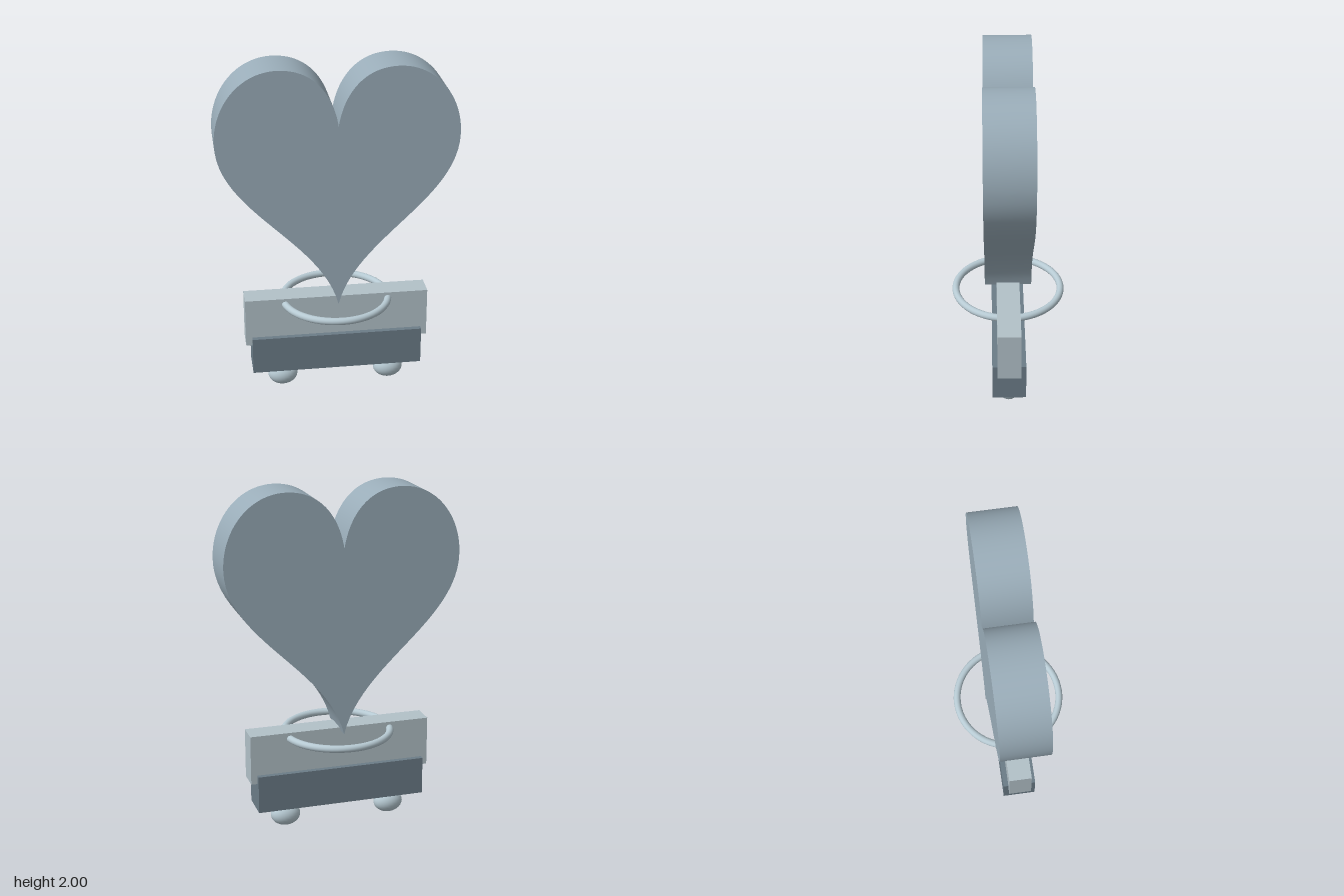
import * as THREE from 'three';
import { toCreasedNormals } from 'three/addons/utils/BufferGeometryUtils.js';

const paint = (name, color) => {
  const m = new THREE.MeshStandardMaterial({ color });
  m.name = name;
  return m;
};

export function createModel() {
  const model = new THREE.Group();
  const heartBlue = paint('heart blue grey', 0x9aadb9);
  const paleGrey = paint('pale grey', 0xb2c1c8);
  const slate = paint('slate', 0x6b7c87);
  const silver = paint('silver blue', 0xb7cad3);

  const add = (name, geometry, material, x, y, z) => {
    const mesh = new THREE.Mesh(geometry, material);
    mesh.name = name;
    mesh.position.set(x, y, z);
    model.add(mesh);
    return mesh;
  };

  // Heart plate: right lobe up from the tip, then the mirrored lobe back down
  const heart = new THREE.Shape();
  heart.moveTo(0, 0.58);
  heart.bezierCurveTo(0.1, 1.0, 0.68, 1.2, 0.68, 1.6);
  heart.bezierCurveTo(0.68, 1.82, 0.53, 2, 0.33, 2);
  heart.bezierCurveTo(0.14, 2, 0.03, 1.86, 0, 1.67);
  heart.bezierCurveTo(-0.03, 1.86, -0.14, 2, -0.33, 2);
  heart.bezierCurveTo(-0.53, 2, -0.68, 1.82, -0.68, 1.6);
  heart.bezierCurveTo(-0.68, 1.2, -0.1, 1.0, 0, 0.58);
  const depth = 0.274;
  const plate = new THREE.ExtrudeGeometry(heart, { depth, bevelEnabled: false, curveSegments: 24 });
  add('heart', toCreasedNormals(plate, 0.5), heartBlue, 0, 0, -depth / 2);

  // Stacked base blocks
  add('upperBlock', new THREE.BoxGeometry(1.072, 0.292, 0.134), paleGrey, 0, 0.451, 0);
  add('lowerBlock', new THREE.BoxGeometry(1.0, 0.222, 0.194), slate, 0, 0.246, 0);

  // Horizontal ring around the heart's tip
  const ring = new THREE.TorusGeometry(0.308, 0.021, 16, 64).rotateX(Math.PI / 2);
  add('ring', ring, silver, 0, 0.56, 0);

  // Pair of stretched ball feet
  for (const side of [-1, 1]) {
    const foot = add(side > 0 ? 'leftFoot' : 'rightFoot',
      new THREE.SphereGeometry(1, 24, 16), silver, side * 0.318, 0.0675, 0);
    foot.scale.set(0.088, 0.0675, 0.0675);
  }
  return model;
}
